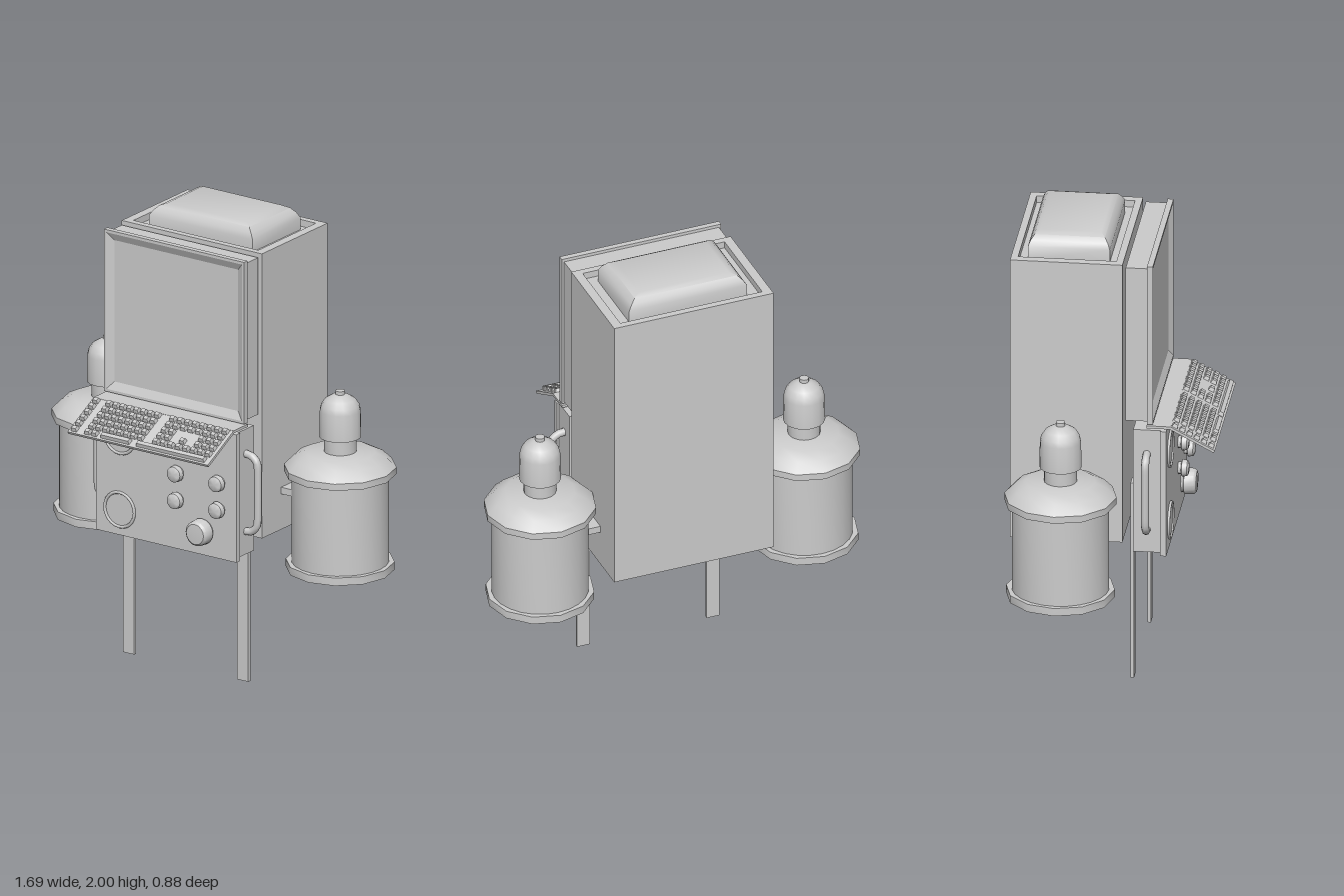
import * as THREE from 'three';
import { toCreasedNormals } from 'three/addons/utils/BufferGeometryUtils.js';

const grey = new THREE.MeshStandardMaterial({ color: 0xcccccc });

function add(parent, name, geometry, x = 0, y = 0, z = 0) {
  const mesh = new THREE.Mesh(geometry, grey);
  mesh.name = name;
  mesh.position.set(x, y, z);
  parent.add(mesh);
  return mesh;
}

// Box given by its extents on each axis
function block(parent, name, [x0, x1], [y0, y1], [z0, z1]) {
  const g = new THREE.BoxGeometry(x1 - x0, y1 - y0, z1 - z0);
  return add(parent, name, g, (x0 + x1) / 2, (y0 + y1) / 2, (z0 + z1) / 2);
}

// Closed stack of rectangles [halfWidth, halfDepth, height]
function rectLoft(rings, crease) {
  const pos = [], idx = [];
  for (const [w, d, y] of rings) pos.push(w, y, d, w, y, -d, -w, y, -d, -w, y, d);
  for (let r = 0; r < rings.length - 1; r++) {
    for (let i = 0; i < 4; i++) {
      const a = r * 4 + i, b = r * 4 + (i + 1) % 4;
      idx.push(a, b, b + 4, a, b + 4, a + 4);
    }
  }
  const t = (rings.length - 1) * 4;
  idx.push(t, t + 1, t + 2, t, t + 2, t + 3, 0, 2, 1, 0, 3, 2);
  const g = new THREE.BufferGeometry();
  g.setAttribute('position', new THREE.Float32BufferAttribute(pos, 3));
  g.setIndex(idx);
  return toCreasedNormals(g, crease);
}

function lathe(profile, sides) {
  const g = new THREE.LatheGeometry(profile.map(([r, y]) => new THREE.Vector2(r, y)), sides);
  return toCreasedNormals(g, 0.72);
}

function makeTank() {
  const tank = new THREE.Group();
  tank.name = 'tank';
  add(tank, 'tankBase', lathe([[0, 0.49], [0.232, 0.49], [0.232, 0.525], [0, 0.525]], 12));
  add(tank, 'tankBody', lathe([[0.208, 0.52], [0.208, 0.93]], 24));
  add(tank, 'tankShoulder', lathe([
    [0, 0.92], [0.24, 0.92], [0.24, 0.95], [0.2, 0.99], [0.15, 1.015], [0, 1.02]], 12));
  add(tank, 'tankNeck', lathe([[0.07, 1.01], [0.07, 1.09]], 16));
  add(tank, 'tankCap', lathe([
    [0, 1.083], [0.09, 1.083], [0.088, 1.2], [0.082, 1.225], [0.065, 1.25],
    [0.035, 1.268], [0.02, 1.272], [0.02, 1.288], [0, 1.291]], 16));
  return tank;
}

// Sloping keyboard; local x across, z down the slope
function makeKeyboard() {
  const board = new THREE.Group();
  board.name = 'keyboard';
  block(board, 'keyboardTray', [-0.365, 0.365], [-0.012, 0], [0, 0.215]);
  const key = (x, row, width = 0.028) => {
    const g = rectLoft([[width / 2, 0.013, 0], [width / 2 - 0.004, 0.009, 0.016]], 0.3);
    add(board, 'key', g, x, 0, 0.018 + row * 0.035);
  };
  for (let row = 0; row < 6; row++) key(-0.338, row);
  for (let row = 0; row < 5; row++) {
    for (let c = 0; c < 8; c++) key(-0.27 + c * 0.036, row);
    for (let c = 0; c < 8; c++) {
      const arrows = c > 1 && c < 5;
      if (!arrows || row < 2 || row === 4 || (row === 3 && c === 3)) key(0.062 + c * 0.039, row);
    }
  }
  key(-0.27, 5);
  key(-0.234, 5);
  key(-0.125, 5, 0.15);
  key(0.163, 5, 0.355);
  return board;
}

export function createModel() {
  const model = new THREE.Group();
  model.name = 'controlStation';

  // Main cabinet with recessed top and cushion-shaped dome
  add(model, 'cabinet', rectLoft([
    [0.365, 0.24, 0.64], [0.365, 0.24, 1.92], [0.325, 0.21, 1.92], [0.325, 0.21, 1.89]], 0.3), 0, 0, -0.195);
  add(model, 'topDome', rectLoft([
    [0.27, 0.175, 1.885], [0.27, 0.175, 1.945], [0.255, 0.165, 1.968],
    [0.235, 0.15, 1.988], [0.205, 0.13, 2.0]], 0.85), 0, 0, -0.195);

  // Screen
  block(model, 'screenHousing', [-0.355, 0.355], [1.2, 1.905], [0.058, 0.152]);
  const screen = add(model, 'screenFrame', rectLoft([
    [0.365, 0.364, 0.15], [0.365, 0.364, 0.175], [0.353, 0.352, 0.175], [0.322, 0.318, 0.158]], 0.15), 0, 1.555, 0);
  screen.rotation.x = Math.PI / 2;

  // Keyboard shelf
  block(model, 'keyboardShelf', [-0.365, 0.365], [1.172, 1.184], [0.148, 0.252]);
  const keyboard = makeKeyboard();
  keyboard.position.set(0, 1.184, 0.25);
  keyboard.rotation.x = 0.485;
  model.add(keyboard);

  // Lower console
  block(model, 'consoleBody', [-0.355, 0.355], [0.597, 1.16], [0.09, 0.207]);
  block(model, 'consolePanel', [-0.365, 0.365], [0.585, 1.16], [0.206, 0.232]);
  for (const y of [0.7, 1.03]) {
    add(model, 'dialRing', new THREE.TorusGeometry(0.077, 0.007, 6, 24), -0.24, y, 0.236);
    const face = add(model, 'dialFace', new THREE.CylinderGeometry(0.075, 0.075, 0.006, 24), -0.24, y, 0.233);
    face.rotation.x = Math.PI / 2;
  }
  const smallKnob = lathe([[0.026, 0], [0.026, 0.014], [0.037, 0.018], [0.034, 0.04], [0.024, 0.046], [0, 0.048]], 16);
  const bigKnob = lathe([[0.05, 0], [0.05, 0.01], [0.058, 0.014], [0.055, 0.055], [0.045, 0.065], [0, 0.068]], 16);
  for (const x of [0.065, 0.28]) {
    for (const y of [0.81, 0.93]) add(model, 'smallKnob', smallKnob, x, y, 0.231).rotation.x = Math.PI / 2;
  }
  add(model, 'largeKnob', bigKnob, 0.195, 0.695, 0.231).rotation.x = Math.PI / 2;

  // Paired parts on both sides
  for (const s of [-1, 1]) {
    block(model, 'leg', [s * 0.297 - 0.029, s * 0.297 + 0.029], [0, 0.9], [0.075, 0.09]);
    const path = new THREE.CatmullRomCurve3([
      [0.35, 1.05], [0.385, 1.045], [0.41, 1.025], [0.417, 0.99], [0.417, 0.77],
      [0.41, 0.73], [0.385, 0.705], [0.35, 0.7]
    ].map(([x, y]) => new THREE.Vector3(s * x, y, 0.148)), false, 'catmullrom', 0.3);
    add(model, 'sideHandle', new THREE.TubeGeometry(path, 28, 0.017, 8));
    block(model, 'tankBracket', [s * 0.39 - 0.03, s * 0.39 + 0.03], [0.8, 0.83], [-0.28, -0.095]);
    const tank = makeTank();
    tank.position.set(s * 0.605, 0, -0.19);
    model.add(tank);
  }
  return model;
}
